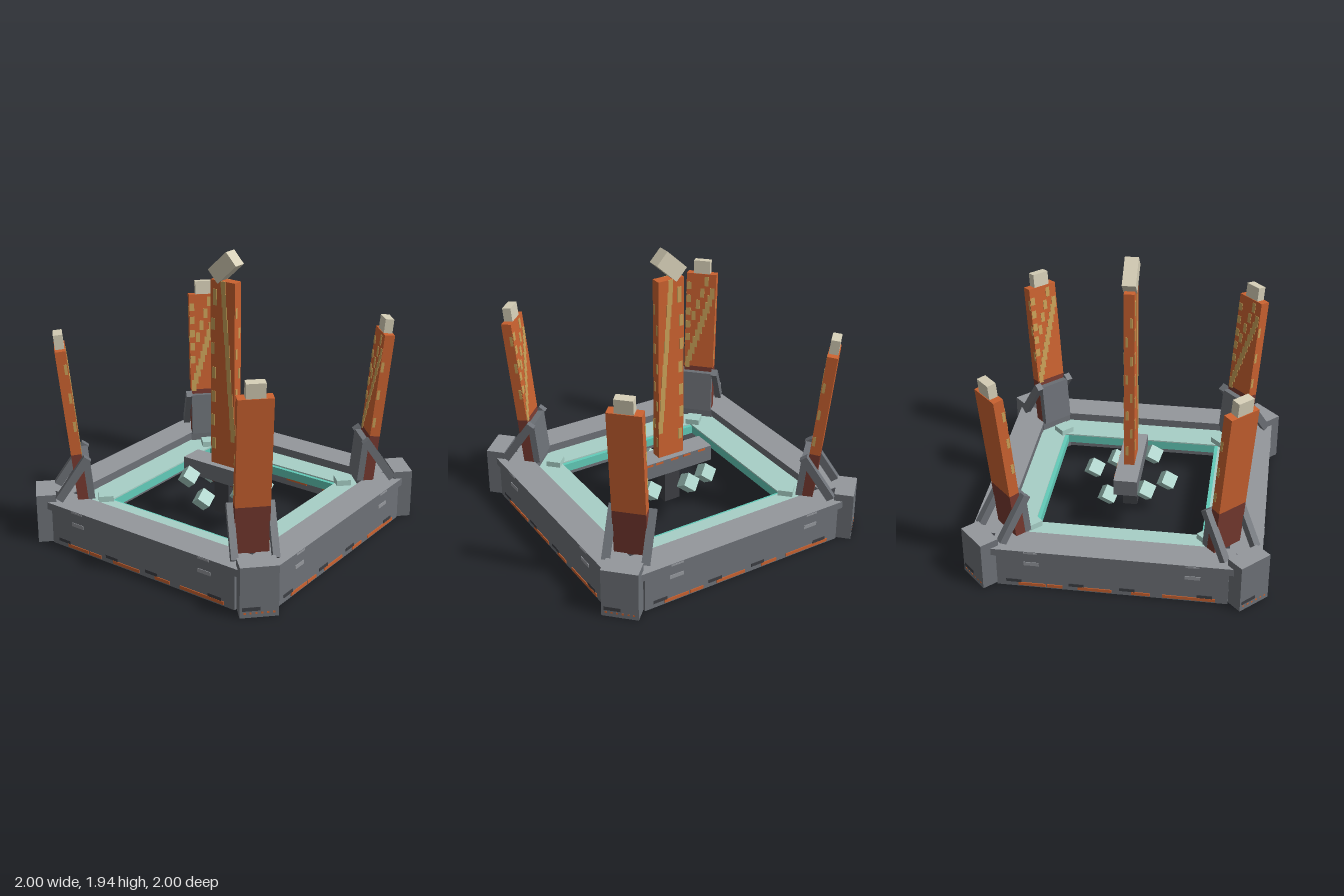
import * as THREE from 'three';

const mat = (name, color) => Object.assign(new THREE.MeshStandardMaterial({ color }), { name });

export function createModel() {
  const steel = mat('steel', 0x6d7177);
  const paleSteel = mat('pale steel', 0x94979c);
  const charcoal = mat('charcoal', 0x3d3f44);
  const orange = mat('rust orange', 0xcb6230);
  const gold = mat('gold wear', 0xc9a158);
  const rust = mat('dark rust', 0x783a30);
  const bone = mat('bone', 0xd6cfb7);
  const paleTeal = mat('pale teal', 0xa8d0c7);
  const teal = mat('bright teal', 0x62cbb9);

  const model = new THREE.Group();
  model.name = 'shrine';

  const box = (parent, name, material, w, h, d, x, y, z) => {
    const mesh = new THREE.Mesh(new THREE.BoxGeometry(w, h, d), material);
    mesh.name = name;
    mesh.position.set(x, y, z);
    parent.add(mesh);
    return mesh;
  };
  // Box materials with a different top face
  const topped = (side, top) => [side, side, top, side, side, side];
  const frameSteel = topped(steel, paleSteel);
  const group = (name, angle) => {
    const g = new THREE.Group();
    g.name = name;
    g.rotation.y = angle;
    model.add(g);
    return g;
  };

  // Four frame beams; local +z points outward
  const dashes = [[-0.52, 0.18], [-0.37, 0.1], [-0.11, 0.22], [0.19, 0.12], [0.5, 0.34]];
  for (let k = 0; k < 4; k++) {
    const side = group('frameSide', k * Math.PI / 2);
    box(side, 'beam', steel, 1.5, 0.25, 0.195, 0, 0.125, 0.8425);
    box(side, 'beamLip', frameSteel, 1.57, 0.05, 0.21, 0, 0.265, 0.845);
    for (const [x, w] of dashes) {
      box(side, 'orangeTrim', orange, w, 0.022, 0.006, x, 0.021, 0.942);
      box(side, 'innerTrim', orange, w * 0.8, 0.022, 0.006, x, 0.05, 0.743);
    }
    for (const x of [-0.64, -0.23, 0.1, 0.6]) {
      box(side, 'darkScuff', charcoal, 0.1, 0.022, 0.006, x, 0.043, 0.941);
    }
    for (const x of [-0.52, 0.52]) {
      box(side, 'paleScuff', paleSteel, 0.1, 0.026, 0.006, x, 0.188, 0.941);
      box(side, 'lipScuff', paleSteel, 0.09, 0.012, 0.006, x, 0.28, 0.949);
    }
  }

  // Teal ledge inside the frame
  for (const s of [-1, 1]) {
    box(model, 'ledgeSideTop', paleTeal, 0.2, 0.01, 1.48, s * 0.645, 0.225, 0);
    box(model, 'ledgeSide', teal, 0.2, 0.06, 1.48, s * 0.645, 0.19, 0);
    box(model, 'ledgeEndTop', paleTeal, 1.09, 0.01, 0.175, 0, 0.225, s * 0.6575);
    box(model, 'ledgeEnd', teal, 1.09, 0.06, 0.2, 0, 0.19, s * 0.645);
    for (const t of [-1, 1]) {
      box(model, 'ledgeStud', paleTeal, 0.1, 0.04, 0.1, s * 0.585, 0.25, t * 0.585).rotation.y = Math.PI / 4;
    }
  }

  // Stepped gold streak running down a face at depth z, as [x, y, width, height]
  const streak = (parent, chips, z) => {
    for (const [x, y, w, h] of chips) box(parent, 'goldChip', gold, w, h, 0.006, x, y, z);
  };
  const pillarChips = [];
  for (let i = 0; i < 11; i++) {
    pillarChips.push([-0.085 + 0.017 * i, 1.2 - 0.055 * i, 0.034, 0.085]);
    if (i % 2) pillarChips.push([0.09, 1.3 - 0.05 * i, 0.035, 0.055]);
    if (i % 3 === 0) pillarChips.push([-0.04 + 0.01 * i, 1.29 - 0.03 * i, 0.03, 0.07]);
  }

  // Four corners: post, braces and a pillar leaning outward
  for (let k = 0; k < 4; k++) {
    const corner = group('corner', Math.PI / 4 + k * Math.PI / 2);
    box(corner, 'cornerPost', frameSteel, 0.24, 0.34, 0.13, 0, 0.17, 1.229);
    box(corner, 'cornerBlock', topped(steel, charcoal), 0.238, 0.285, 0.25, 0, 0.1425, 1.05);
    box(corner, 'postScuff', charcoal, 0.11, 0.025, 0.006, -0.05, 0.058, 1.293);
    for (let i = 0; i < 6; i++) {
      box(corner, 'postSpeck', orange, 0.014, 0.012, 0.004, -0.09 + 0.036 * i, 0.03, 1.293);
    }
    for (const s of [-1, 1]) {
      box(corner, 'brace', steel, 0.045, 0.35, 0.055, s * 0.128, 0.455, 1.045).rotation.x = -0.6;
    }

    const lean = new THREE.Group();
    lean.name = 'leaningPillar';
    lean.position.z = 0.955;
    lean.rotation.x = 0.1;
    corner.add(lean);
    box(lean, 'backPlate', steel, 0.22, 0.3, 0.045, 0, 0.435, -0.058);
    box(lean, 'pillarFoot', rust, 0.22, 0.34, 0.07, 0, 0.45, 0);
    box(lean, 'pillar', orange, 0.22, 0.725, 0.07, 0, 0.9825, 0);
    box(lean, 'pillarCap', bone, 0.12, 0.1, 0.06, 0, 1.392, 0);
    streak(lean, pillarChips, -0.035);
    for (let i = 0; i < 6; i++) {
      box(lean, 'edgeChip', gold, 0.006, 0.07, 0.02, (i % 2 ? 1 : -1) * 0.109, 0.72 + i * 0.1, -0.02);
    }
  }

  // Central column with crossbar and tilted cap
  box(model, 'columnBase', charcoal, 0.12, 0.24, 0.1, 0, 0.2, 0);
  box(model, 'columnFoot', rust, 0.19, 0.06, 0.066, 0, 0.32, 0);
  box(model, 'column', orange, 0.195, 1.31, 0.07, 0, 1.08, 0);
  box(model, 'crossbar', frameSteel, 0.6, 0.115, 0.16, 0, 0.38, 0);
  for (const x of [-0.22, -0.1, 0, 0.12, 0.2]) {
    box(model, 'crossbarTrim', orange, 0.06, 0.015, 0.005, x, 0.425, -0.08);
  }
  box(model, 'columnCap', bone, 0.2, 0.115, 0.09, 0, 1.826, 0).rotation.z = 0.75;
  const columnChips = [[-0.06, 1.62, 0.03, 0.11]];
  for (let i = 0; i < 13; i++) {
    columnChips.push([0.005 + 0.0065 * i, 1.69 - 0.085 * i, 0.035, 0.09]);
    if (i % 2) columnChips.push([-0.08 + 0.004 * (i % 3), 1.42 - 0.085 * i + 0.1, 0.03, 0.08]);
  }
  const low = columnChips.filter((c) => c[1] > 0.5);
  streak(model, low, 0.035);
  streak(model, low, -0.035);
  for (let i = 0; i < 8; i++) {
    for (const s of [-1, 1]) {
      box(model, 'edgeChip', gold, 0.006, 0.07, 0.018, s * 0.097, 0.55 + i * 0.14, (i % 2 ? 1 : -1) * 0.015);
    }
  }

  // Ring of six floating crystals at alternating heights
  for (let k = 0; k < 6; k++) {
    const a = k * Math.PI / 3;
    const y = k % 2 ? 0.325 : 0.265;
    box(model, 'crystal', paleTeal, 0.095, 0.095, 0.095, 0.255 * Math.sin(a), y, 0.255 * Math.cos(a))
      .rotation.set(0.55, 0.1, 0.72);
  }
  return model;
}
